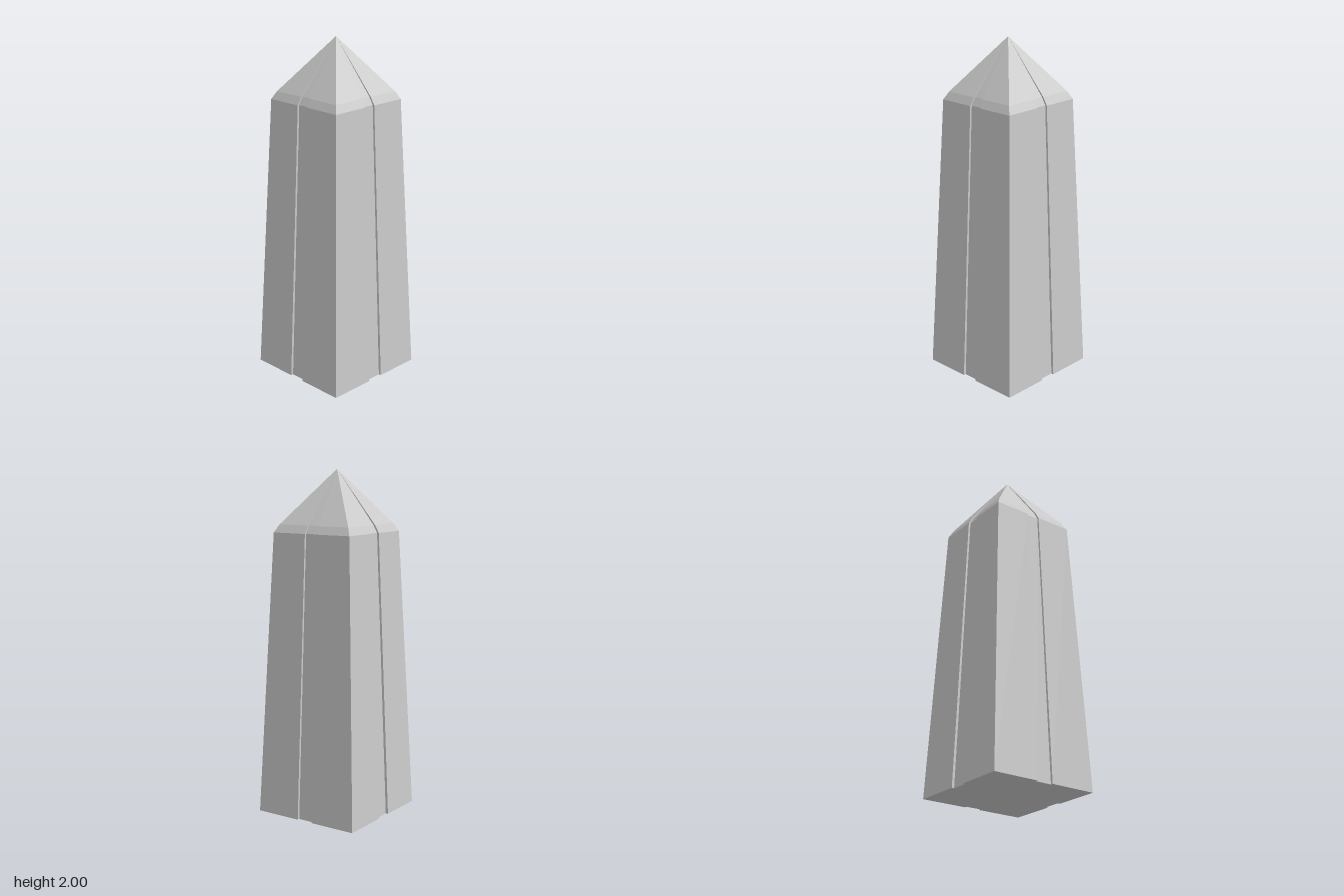
import * as THREE from 'three';

const HALF = 0.329; // half width of the base
const GROOVE = 0.05; // half width of a groove at the base
const FLOOR = 0.314; // distance of the groove floor from the axis

// Square outline with a shallow groove in the middle of each side, as [x, z]
function outline() {
  const side = [[-HALF, HALF], [-GROOVE, HALF], [-GROOVE, FLOOR], [GROOVE, FLOOR], [GROOVE, HALF]];
  const points = [];
  let turned = side;
  for (let i = 0; i < 4; i++) {
    points.push(...turned);
    turned = turned.map(([x, z]) => [z, -x]);
  }
  return points;
}

// Flat-shaded walls through scaled copies of the outline; levels are [height, half width]
function loft(points, levels) {
  const positions = [];
  const at = (i, [y, half]) => {
    const [x, z] = points[i % points.length];
    return [x * half / HALF, y, z * half / HALF];
  };
  for (let l = 0; l < levels.length - 1; l++) {
    const low = levels[l], high = levels[l + 1];
    for (let i = 0; i < points.length; i++) {
      const a = at(i, low), b = at(i + 1, low), c = at(i + 1, high), d = at(i, high);
      positions.push(...a, ...b, ...c);
      if (high[1] > 0) positions.push(...a, ...c, ...d);
    }
  }
  const geometry = new THREE.BufferGeometry();
  geometry.setAttribute('position', new THREE.Float32BufferAttribute(positions, 3));
  geometry.computeVertexNormals();
  return geometry;
}

export function createModel() {
  const group = new THREE.Group();
  group.name = 'obelisk';
  const material = new THREE.MeshStandardMaterial({ color: 0xcccccc, flatShading: true });
  const add = (name, geometry) => {
    const mesh = new THREE.Mesh(geometry, material);
    mesh.name = name;
    group.add(mesh);
  };
  const points = outline();

  // Tapering grooved shaft
  add('shaft', loft(points, [[0, HALF], [1.645, 0.258]]));

  // Bevelled shoulder and pointed tip, with the grooves running to the apex
  add('pyramidTop', loft(points, [[1.645, 0.258], [1.69, 0.234], [2, 0]]));

  // Underside
  const shape = new THREE.Shape(points.map(([x, z]) => new THREE.Vector2(x, z)));
  add('base', new THREE.ShapeGeometry(shape).rotateX(Math.PI / 2));

  return group;
}
